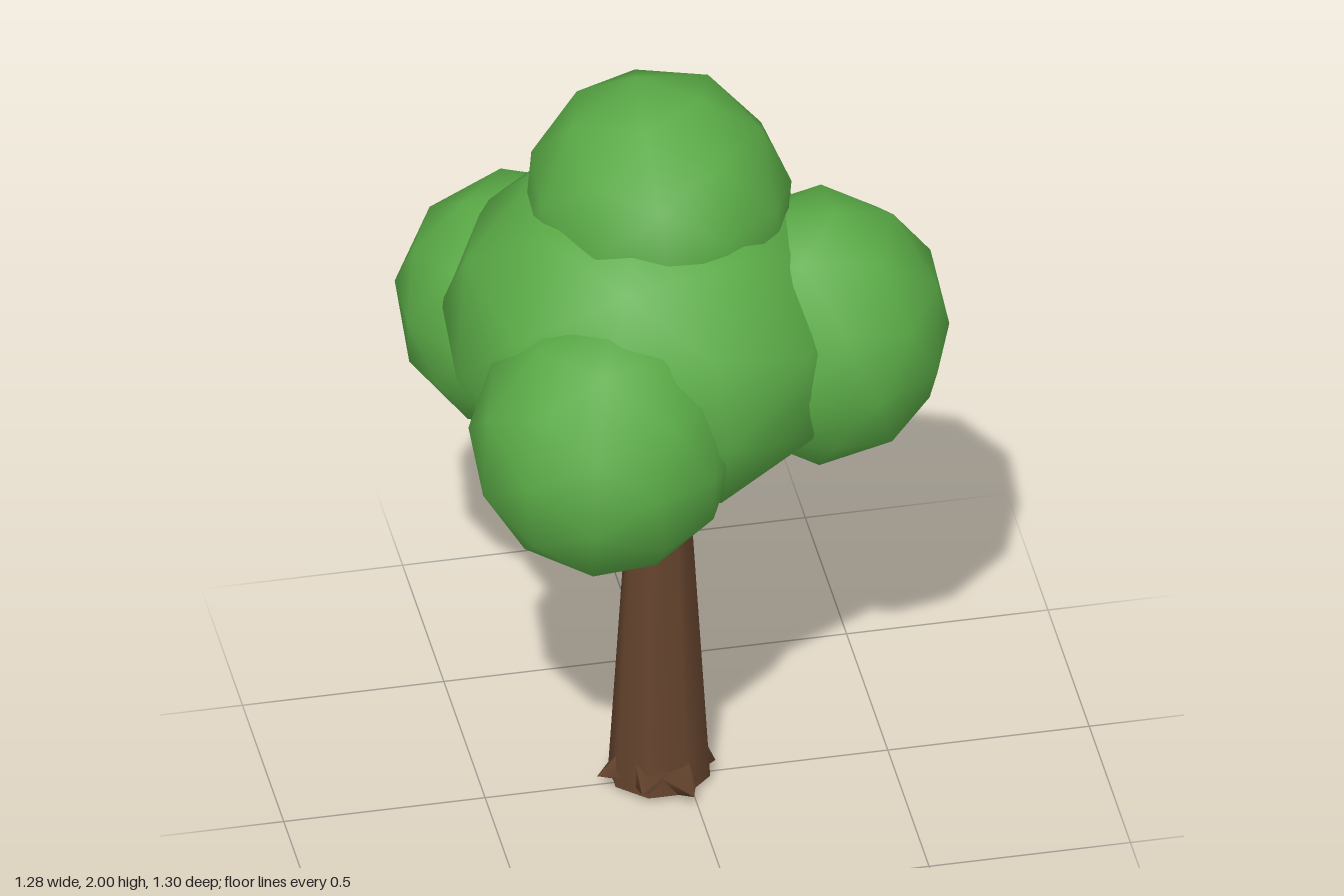
import * as THREE from 'three';

export function createModel() {
  const tree = new THREE.Group();
  tree.name = 'tree';
  const leafGreen = new THREE.MeshStandardMaterial({ color: 0x5aaa46 });
  leafGreen.name = 'leafGreen';
  const barkBrown = new THREE.MeshStandardMaterial({ color: 0x64432d });
  barkBrown.name = 'barkBrown';

  const add = (name, geometry, material) => {
    const mesh = new THREE.Mesh(geometry, material);
    mesh.name = name;
    tree.add(mesh);
    return mesh;
  };

  // Leaf clump: a turned, coarse icosphere fitted to a box
  function clump(name, min, max, turn) {
    const geo = new THREE.IcosahedronGeometry(1, 1);
    geo.applyMatrix4(new THREE.Matrix4().makeRotationFromEuler(new THREE.Euler(...turn)));
    geo.computeBoundingBox();
    const from = geo.boundingBox.getSize(new THREE.Vector3());
    const mid = geo.boundingBox.getCenter(new THREE.Vector3());
    const lo = new THREE.Vector3(...min), hi = new THREE.Vector3(...max);
    const size = hi.clone().sub(lo).divide(from);
    const centre = lo.add(hi).multiplyScalar(0.5);
    geo.translate(-mid.x, -mid.y, -mid.z);
    geo.scale(size.x, size.y, size.z);
    geo.translate(centre.x, centre.y, centre.z);
    add(name, geo, leafGreen);
  }
  clump('mainLeaves', [-0.59, 0.92, -0.53], [0.4, 1.8, 0.515], [0.1, 0.2, 0.05]);
  clump('topLeaves', [-0.385, 1.34, -0.395], [0.265, 2, 0.28], [0.3, 0.5, 0.2]);
  clump('leftLeaves', [0.0, 0.99, -0.245], [0.638, 1.69, 0.37], [0.2, 0.9, 0.4]);
  clump('frontRightLeaves', [-0.59, 0.925, 0.0], [0.045, 1.61, 0.648], [0.5, 0.3, 0.1]);
  clump('backRightLeaves', [-0.643, 0.92, -0.65], [-0.03, 1.56, 0.0], [0.15, 1.2, 0.3]);

  // Trunk: tapered, leaning very slightly, running up into the leaves
  const trunk = new THREE.CylinderGeometry(0.059, 0.121, 1.08, 8, 1);
  trunk.rotateY(Math.PI / 8);
  trunk.scale(1.05, 1, 0.98);
  trunk.translate(-0.067, 0.56, -0.004);
  add('trunk', trunk, barkBrown);

  // Pointed root or branch stub, from its base point to its tip
  function spike(name, base, tip, radius) {
    const a = new THREE.Vector3(...base), b = new THREE.Vector3(...tip);
    const dir = b.clone().sub(a);
    const mesh = add(name, new THREE.ConeGeometry(radius, dir.length(), 4), barkBrown);
    mesh.position.copy(a).add(b).multiplyScalar(0.5);
    mesh.quaternion.setFromUnitVectors(new THREE.Vector3(0, 1, 0), dir.normalize());
  }

  // Roots around the foot: angle and reach
  const roots = [[0.1, 0.135], [1.25, 0.165], [2.1, 0.14], [3.0, 0.163], [4.0, 0.14], [4.85, 0.155], [5.6, 0.13]];
  for (const [angle, reach] of roots) {
    const c = Math.cos(angle), s = Math.sin(angle);
    spike('root', [-0.065 + c * 0.085, 0.062, s * 0.085],
      [-0.065 + c * reach, 0.045, s * reach], 0.06);
  }

  // Branch stubs just below the leaves
  for (let i = 0; i < 5; i++) {
    const angle = 0.35 + i * Math.PI * 0.4;
    const c = Math.cos(angle), s = Math.sin(angle);
    spike('branch', [-0.07 + c * 0.035, 0.87, s * 0.035],
      [-0.07 + c * 0.15, 0.97, s * 0.15], 0.04);
  }

  return tree;
}
